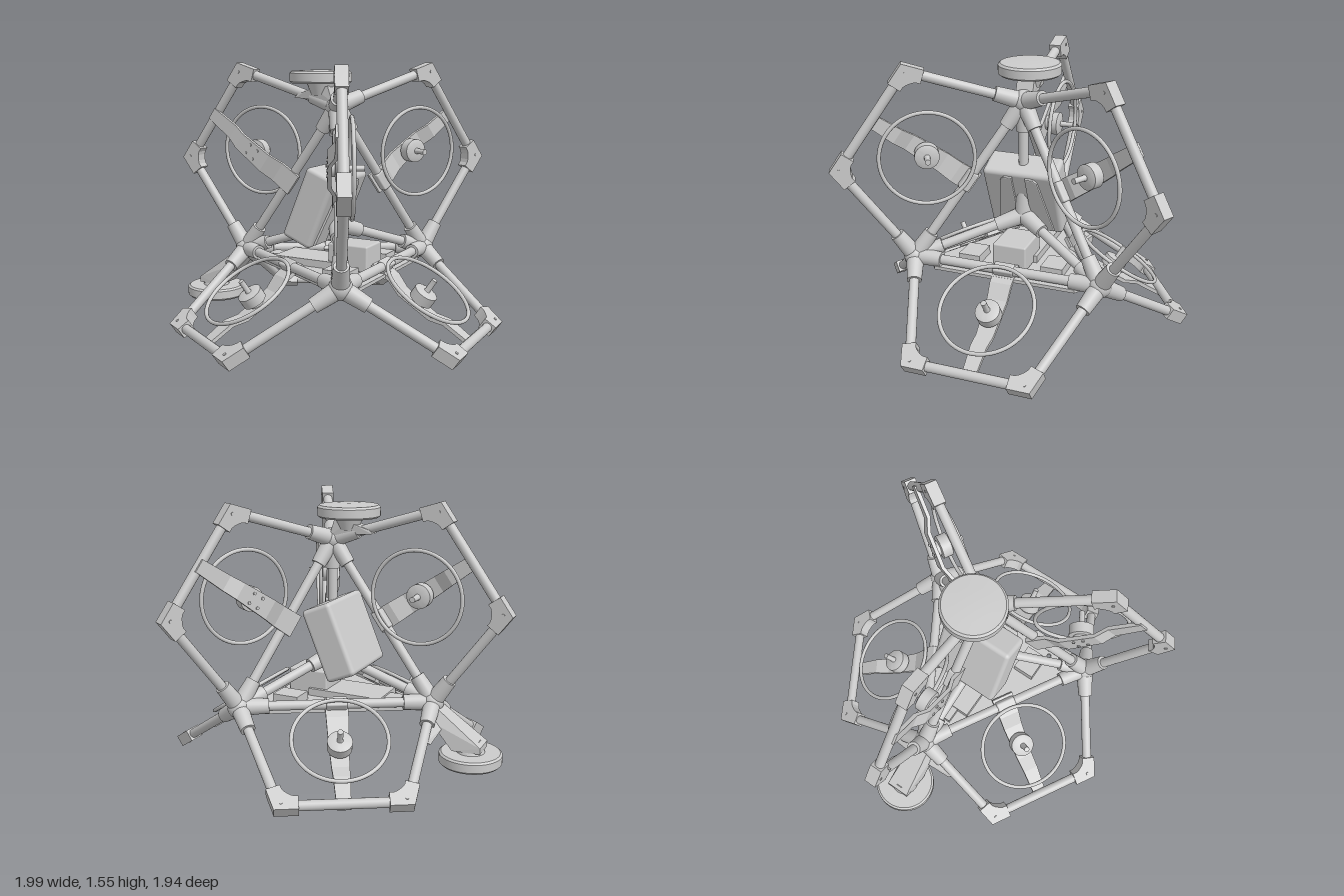
import * as THREE from 'three';
import { RoundedBoxGeometry } from 'three/addons/geometries/RoundedBoxGeometry.js';
import { ConvexGeometry } from 'three/addons/geometries/ConvexGeometry.js';
import { toCreasedNormals } from 'three/addons/utils/BufferGeometryUtils.js';

const V = (x, y, z = 0) => new THREE.Vector3(x, y, z);
const mat = new THREE.MeshStandardMaterial({ color: 0xcccccc });

// Frame nodes: a regular tetrahedron and its centre
const A = V(-0.55, 0.41), B = V(0.4, 0.41, 0.555), C = V(0.4, 0.41, -0.555), D = V(0.085, 1.305);
const O = V(0.085, 0.62);
const TUBE = 0.028, SIDE = 0.67, RISE = 0.643;

function add(parent, name, geometry, x = 0, y = 0, z = 0) {
  const m = new THREE.Mesh(geometry, mat);
  m.name = name;
  m.position.set(x, y, z);
  parent.add(m);
  return m;
}

// Round bar between two points
function bar(parent, name, a, b, r0 = TUBE, r1 = r0) {
  const d = b.clone().sub(a);
  const m = add(parent, name, new THREE.CylinderGeometry(r1, r0, d.length(), 24));
  m.position.copy(a).addScaledVector(d, 0.5);
  m.quaternion.setFromUnitVectors(V(0, 1, 0), d.normalize());
  return m;
}

function polygon(points) {
  return new THREE.Shape(points.map(([x, y]) => new THREE.Vector2(x, y)));
}

function extrude(shape, depth, bevel = 0) {
  return new THREE.ExtrudeGeometry(shape, {
    depth, bevelEnabled: bevel > 0, bevelSize: bevel, bevelThickness: bevel, bevelSegments: 2, curveSegments: 16,
  });
}

// Turned part with crisp rims
function turned(points, sides) {
  return toCreasedNormals(new THREE.LatheGeometry(points.map(([r, h]) => new THREE.Vector2(r, h)), sides), 0.5);
}

// Node ball with a tapered socket toward every neighbour
function joint(parent, name, at, targets, ball = 0.066) {
  const g = new THREE.Group();
  g.name = name;
  parent.add(g);
  add(g, 'jointBall', new THREE.SphereGeometry(ball, 24, 16)).position.copy(at);
  for (const t of targets) {
    const end = at.clone().addScaledVector(t.clone().sub(at).normalize(), 0.17);
    bar(g, 'jointSocket', at, end, 0.052, 0.042);
  }
}

// Elbow block in the wing plane; one leg runs to -x, the other 108 degrees from it
function elbowGeometry() {
  const a = THREE.MathUtils.degToRad(-72);
  const dir = [Math.cos(a), Math.sin(a)], out = [-dir[1], dir[0]];
  const L = 0.1, w = 0.039;
  const on = (s, t) => [dir[0] * s + out[0] * t, dir[1] * s + out[1] * t];
  const tip = w * Math.tan(Math.PI / 5);
  const shape = polygon([[-L, -w], [-L, w], [tip, w], on(L, w), on(L, -w), on(0.075, -w),
    on(0.055, -w - 0.008), [-0.055, -w - 0.008], [-0.075, -w]]);
  const g = extrude(shape, 0.07);
  g.translate(0, 0, -0.035);
  return g;
}

// Bent motor arm: side profile swept across, then tapered outward
function armGeometry() {
  const line = [[-0.05, -0.024], [0.08, -0.024], [0.17, -0.056], [0.39, -0.056], [0.47, -0.024], [0.66, -0.024]];
  const t = 0.011;
  const g = extrude(polygon([...line.map(([x, y]) => [x, y - t]), ...line.map(([x, y]) => [x, y + t]).reverse()]), 1);
  g.translate(0, 0, -0.5);
  g.applyMatrix4(new THREE.Matrix4().makeBasis(V(0, 1, 0), V(0, 0, 1), V(1, 0, 0)));
  const p = g.attributes.position;
  for (let i = 0; i < p.count; i++) p.setX(i, p.getX(i) * (0.135 - 0.09 * Math.max(0, p.getY(i))));
  g.computeVertexNormals();
  return g;
}

// One rotor wing on the edge a-b: x along the edge, y outward, z toward the rotor
function wing(parent, a, b) {
  const g = new THREE.Group();
  g.name = 'rotorWing';
  const e = b.clone().sub(a).normalize();
  const mid = a.clone().add(b).multiplyScalar(0.5);
  const u = mid.clone().sub(O);
  u.addScaledVector(e, -u.dot(e)).normalize();
  new THREE.Matrix4().makeBasis(e, u, e.clone().cross(u)).setPosition(mid)
    .decompose(g.position, g.quaternion, g.scale);
  parent.add(g);
  const half = a.distanceTo(b) / 2, s = SIDE / 2;
  bar(g, 'edgeTube', V(-half, 0), V(half, 0));
  bar(g, 'outerTube', V(-s, RISE), V(s, RISE));
  const elbow = elbowGeometry();
  for (const k of [-1, 1]) {
    bar(g, 'sideTube', V(k * half, 0), V(k * s, RISE));
    const corner = add(g, 'cornerBlock', elbow, k * s, RISE);
    if (k < 0) corner.rotation.y = Math.PI;
    for (const f of [-1, 1]) {
      const screw = add(g, 'cornerScrew', new THREE.CylinderGeometry(0.009, 0.009, 0.006, 12), k * (s - 0.01), RISE, f * 0.036);
      screw.rotation.x = Math.PI / 2;
    }
  }
  add(g, 'motorArm', armGeometry());
  // Clip holding the arm on the edge tube
  add(g, 'armClip', new RoundedBoxGeometry(0.12, 0.066, 0.064, 2, 0.01));
  // Motor, shaft and screws, spun about the wing normal
  const hub = [[0, -0.05], [0.045, -0.05], [0.045, -0.028], [0.07, -0.024], [0.07, 0.036], [0.05, 0.044], [0.018, 0.046],
    [0.016, 0.05], [0.016, 0.125], [0, 0.125]];
  const motor = add(g, 'motor', turned(hub, 32), 0, 0.28);
  motor.rotation.x = Math.PI / 2;
  for (const k of [-1, 1]) for (const j of [-1, 1]) {
    add(g, 'motorScrew', new THREE.CylinderGeometry(0.009, 0.009, 0.01, 12), k * 0.03, 0.28 + j * 0.03, -0.069)
      .rotation.x = Math.PI / 2;
  }
  add(g, 'rotorRing', new THREE.TorusGeometry(0.264, 0.0115, 10, 72), 0, 0.28, 0.058);
}

// Round antenna disc on a tapered neck; its top faces +y
function antenna(parent, x, y, flip) {
  const g = new THREE.Group();
  g.name = 'antenna';
  const profile = [[0, -0.04], [0.168, -0.04], [0.18, -0.03], [0.18, 0.018], [0.168, 0.03], [0.1, 0.034], [0, 0.038]];
  add(g, 'antennaDisc', turned(profile, 48));
  add(g, 'antennaNeck', new THREE.CylinderGeometry(0.085, 0.055, 0.08, 24), 0, -0.07);
  g.position.set(x, y, 0);
  if (flip) g.rotation.x = Math.PI;
  parent.add(g);
}

export function createModel() {
  const root = new THREE.Group();
  root.name = 'tetrahedralDrone';

  // Six wings, ordered so each rotor sits on the correct side
  const edges = [[B, A], [A, C], [C, B], [B, D], [D, C], [D, A]];
  edges.forEach(([a, b]) => wing(root, a, b));

  // Inner struts and joints
  const nodes = [A, B, C, D];
  for (const n of nodes) {
    bar(root, 'innerStrut', O, n);
    const targets = [O];
    for (const m of nodes) {
      if (m === n) continue;
      const mid = n.clone().add(m).multiplyScalar(0.5);
      const outer = mid.clone().addScaledVector(mid.clone().sub(O).normalize(), RISE)
        .addScaledVector(n.clone().sub(m).normalize(), SIDE / 2);
      targets.push(m, outer);
    }
    joint(root, 'frameJoint', n, targets);
  }
  joint(root, 'centreJoint', O, nodes, 0.055);

  // Base plate with slots
  const plate = polygon([[-0.45, -0.04], [0.33, -0.49], [0.43, -0.42], [0.43, 0.42], [0.33, 0.49], [-0.45, 0.04]]);
  const slot = new THREE.Path();
  slot.absarc(0.24, -0.07, 0.025, Math.PI, 2 * Math.PI);
  slot.absarc(0.24, 0.07, 0.025, 0, Math.PI);
  plate.holes.push(slot);
  for (const z of [-0.32, 0.32]) {
    const hole = new THREE.Path();
    hole.absarc(0.36, z, 0.012, 0, 2 * Math.PI);
    plate.holes.push(hole);
  }
  add(root, 'basePlate', extrude(plate, 0.02).rotateX(-Math.PI / 2), 0, 0.355);

  // Electronics on the plate
  add(root, 'controlBoard', new THREE.BoxGeometry(0.46, 0.045, 0.24), -0.04, 0.395);
  add(root, 'boardConnector', new THREE.BoxGeometry(0.1, 0.035, 0.1), -0.31, 0.39);
  add(root, 'receiverBox', new RoundedBoxGeometry(0.25, 0.15, 0.2, 2, 0.01), 0.205, 0.45);
  for (const k of [-1, 1]) add(root, 'speedController', new THREE.BoxGeometry(0.16, 0.05, 0.13), 0.24, 0.4, k * 0.25);

  // Tilted battery case with two raised pads either side of the strut
  const pack = new THREE.Group();
  pack.name = 'batteryCase';
  pack.position.set(0.012, 0.738, 0);
  pack.rotation.z = -0.39;
  root.add(pack);
  add(pack, 'caseBody', new RoundedBoxGeometry(0.19, 0.44, 0.44, 4, 0.025));
  for (const k of [-1, 1]) {
    const pad = polygon([[k * 0.045, -0.19], [k * 0.165, -0.19], [k * 0.105, 0.17], [k * 0.085, 0.19], [k * 0.045, 0.19]]);
    add(pack, 'casePad', extrude(pad, 0.012, 0.006).rotateY(Math.PI / 2), 0.09);
  }

  // Upper antenna and its bracket
  antenna(root, -0.02, 1.475, false);
  const upper = [], lower = [];
  for (const z of [-0.05, 0.05]) {
    upper.push(V(-0.18, 1.35, z * 0.6), V(-0.16, 1.37, z * 0.6), V(0.05, 1.42, z), V(-0.04, 1.41, z), V(0.08, 1.33, z));
    lower.push(V(-0.52, 0.4, z), V(-0.57, 0.41, z), V(-0.86, 0.2, z * 1.4), V(-0.86, 0.165, z * 1.4),
      V(-0.7, 0.165, z * 1.7), V(-0.57, 0.32, z * 1.7));
  }
  add(root, 'upperAntennaBracket', new ConvexGeometry(upper));

  // Lower antenna, its sloping arm and the gussets along the side tubes
  antenna(root, -0.785, 0.108, true);
  add(root, 'lowerAntennaArm', new ConvexGeometry(lower));
  for (const k of [-1, 1]) {
    const pts = [];
    for (const x of [-0.008, 0.008]) {
      pts.push(V(-0.565 + x, 0.36, k * 0.05), V(-0.6 + x, 0.26, k * 0.25), V(-0.615 + x, 0.24, k * 0.22), V(-0.63 + x, 0.29, k * 0.05));
    }
    add(root, 'bracketGusset', new ConvexGeometry(pts));
  }
  return root;
}
